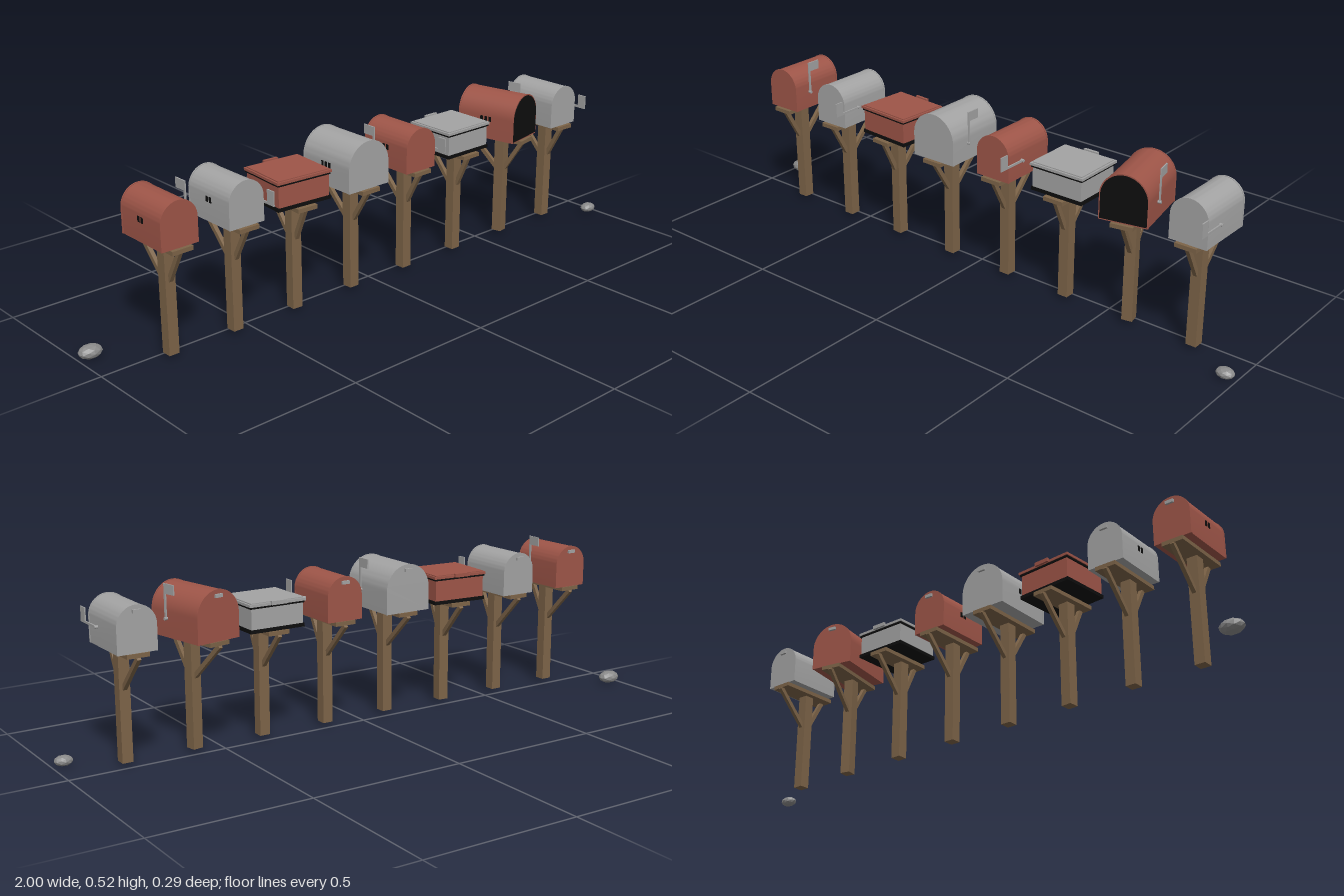
import * as THREE from 'three';
import { toCreasedNormals } from 'three/addons/utils/BufferGeometryUtils.js';

const material = (name, color) => {
  const m = new THREE.MeshStandardMaterial({ color });
  m.name = name;
  return m;
};

export function createModel() {
  const wood = material('wood brown', 0x7d6448);
  const red = material('painted red', 0x9e5548);
  const grey = material('galvanised grey', 0xa3a3a3);
  const dark = material('dark interior', 0x0d0d0d);
  const stone = material('stone grey', 0x8a8a8a);
  const model = new THREE.Group();
  model.name = 'mailboxRow';

  function add(parent, name, geometry, mat, x = 0, y = 0, z = 0) {
    const mesh = new THREE.Mesh(geometry, mat);
    mesh.name = name;
    mesh.position.set(x, y, z);
    parent.add(mesh);
    return mesh;
  }
  const box = (parent, name, mat, w, h, d, x, y, z) =>
    add(parent, name, new THREE.BoxGeometry(w, h, d), mat, x, y, z);

  // Diagonal support in the z-y plane
  function brace(parent, name, z1, y1, z2, y2) {
    const dy = y2 - y1, dz = z2 - z1;
    const mesh = box(parent, name, wood, 0.013, Math.hypot(dy, dz), 0.014, 0, (y1 + y2) / 2, (z1 + z2) / 2);
    mesh.rotation.x = Math.atan2(dz, dy);
  }

  // Post, shelf and braces
  function stand(parent, length) {
    const end = length / 2;
    box(parent, 'post', wood, 0.034, 0.338, 0.034, 0, 0.182, 0.021);
    box(parent, 'shelf', wood, 0.07, 0.013, length + 0.016, 0, 0.3565, 0.004);
    brace(parent, 'frontBrace', 0.036, 0.245, end - 0.004, 0.35);
    brace(parent, 'backBrace', 0.008, 0.237, -end - 0.004, 0.35);
  }

  // Straight walls with a half-round roof
  function archGeometry(width, top, depth, inset = 0) {
    const r = width / 2 - inset, spring = top - width / 2, base = 0.363 + inset;
    const shape = new THREE.Shape();
    shape.moveTo(-r, base);
    shape.lineTo(r, base);
    shape.lineTo(r, spring);
    shape.absarc(0, spring, r, 0, Math.PI, false);
    shape.closePath();
    const geometry = new THREE.ExtrudeGeometry(shape, { depth, bevelEnabled: false, curveSegments: 16 });
    return toCreasedNormals(geometry.translate(0, 0, -depth / 2), 0.6);
  }

  // Signal flag: raised stands upright, lowered points forward
  function flag(parent, side, raised) {
    const group = new THREE.Group();
    group.name = 'signalFlag';
    group.position.set(side + 0.004, 0.42, 0.035);
    if (!raised) group.rotation.x = Math.PI / 2;
    parent.add(group);
    box(group, 'flagArm', grey, 0.004, 0.105, 0.007, 0, 0.0515, 0);
    box(group, 'flagPlate', grey, 0.004, 0.03, 0.045, 0, 0.089, -0.0195);
    add(group, 'flagPivot', new THREE.CylinderGeometry(0.005, 0.005, 0.01, 10).rotateZ(Math.PI / 2), grey);
  }

  function archedBox(parent, { paint, width, top, length, raised, open, plates = 0 }) {
    add(parent, 'body', archGeometry(width - 0.003, top - 0.0015, length), paint);
    for (const s of [-1, 1]) {
      add(parent, s > 0 ? 'frontRim' : 'backDoor', archGeometry(width, top, 0.005), paint, 0, 0, s * (length / 2 - 0.002));
    }
    if (open) add(parent, 'opening', archGeometry(width, top, 0.002, 0.004), dark, 0, 0, length / 2 + 0.001);
    box(parent, 'doorHandle', grey, 0.026, 0.01, 0.008, 0, top - 0.018, -length / 2 - 0.004);
    flag(parent, width / 2, raised);
    // Small plain plates on the side wall
    for (let i = 0; i < plates; i++) {
      box(parent, 'sidePlate', dark, 0.002, 0.017, 0.009, -width / 2, 0.432, 0.016 * (i - (plates - 1) / 2));
    }
  }

  function liddedBox(parent, { paint, width, top, length }) {
    box(parent, 'base', dark, width - 0.006, 0.011, length - 0.006, 0, 0.3685, 0);
    box(parent, 'body', paint, width - 0.014, top - 0.39, length - 0.012, 0, (top + 0.358) / 2, 0);
    box(parent, 'lidSeal', dark, width - 0.006, 0.006, length - 0.005, 0, top - 0.014, 0);
    box(parent, 'lid', paint, width, 0.008, length, 0, top - 0.007, 0);
    box(parent, 'lidPanel', paint, width - 0.012, 0.004, length - 0.012, 0, top - 0.002, 0);
    box(parent, 'hinge', paint, 0.05, 0.012, 0.009, 0, top - 0.004, -length / 2 - 0.003);
  }

  const small = { width: 0.123, top: 0.502, length: 0.193 };
  const large = { width: 0.16, top: 0.516, length: 0.212 };
  const units = [
    { ...small, paint: red, raised: true, plates: 2 },
    { ...small, paint: grey, plates: 2 },
    { width: 0.195, top: 0.458, length: 0.176, paint: red, lidded: true, turn: -0.07 },
    { ...large, paint: grey, raised: true, plates: 3 },
    { ...small, paint: red, plates: 2 },
    { width: 0.19, top: 0.454, length: 0.176, paint: grey, lidded: true },
    { ...large, width: 0.152, paint: red, raised: true, open: true, plates: 3, turn: 0.2 },
    { ...small, paint: grey },
  ];
  units.forEach((unit, i) => {
    const group = new THREE.Group();
    group.name = 'mailbox' + (i + 1);
    group.position.set(-0.786 + i * 0.2283, 0, 0.009);
    group.rotation.y = unit.turn || 0;
    model.add(group);
    stand(group, unit.length);
    (unit.lidded ? liddedBox : archedBox)(group, unit);
  });

  // Flattened faceted stones at both ends
  for (const [x, y, z, w, h, d] of [
    [-0.962, 0.022, -0.117, 0.038, 0.021, 0.029],
    [0.967, 0.02, 0.118, 0.029, 0.016, 0.023],
  ]) {
    const rock = new THREE.IcosahedronGeometry(1, 1).scale(w, h, d);
    rock.computeVertexNormals();
    add(model, 'rock', rock, stone, x, y, z);
  }
  return model;
}
